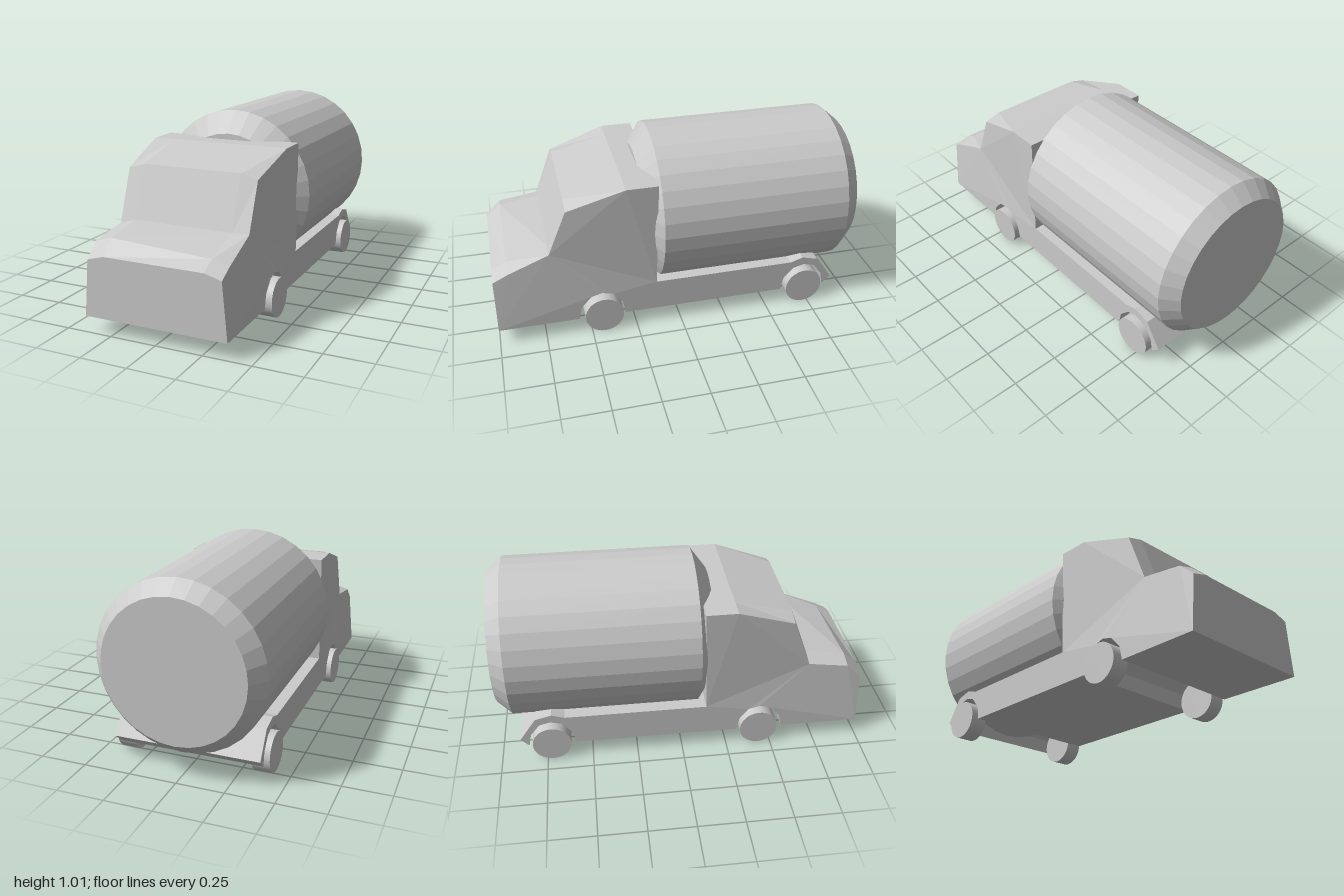
import * as THREE from 'three';

export function createModel() {
  const group = new THREE.Group();
  const material = new THREE.MeshStandardMaterial({ color: 0xcccccc, flatShading: true });
  const smooth = new THREE.MeshStandardMaterial({ color: 0xcccccc });
  const add = (name, geometry, mat = material) => {
    const mesh = new THREE.Mesh(geometry, mat);
    mesh.name = name;
    group.add(mesh);
    return mesh;
  };

  // Cab and chassis: one side profile (z, y), with wheel arches cut across
  const arch = (z) => [[-0.125, 0.085], [-0.11, 0.16], [-0.06, 0.222], [0, 0.238],
    [0.06, 0.222], [0.115, 0.16], [0.13, 0.085]].map(([dz, y]) => [z + dz, y]);
  const profile = [
    [1, 0.085], [1, 0.405], [0.92, 0.478], [0.7, 0.51], [0.6, 0.78], [0.29, 0.857], [0.12, 0.857],
    [0.135, 0.262], [-0.64, 0.262], [-0.71, 0.285], [-0.8, 0.262], [-0.89, 0.13],
    ...arch(-0.72), ...arch(0.435),
  ];
  const shape = new THREE.Shape(profile.map(([z, y]) => new THREE.Vector2(z, y)));
  const body = new THREE.ExtrudeGeometry(shape, { depth: 3, steps: 3, bevelEnabled: false });
  body.rotateY(-Math.PI / 2);

  // Place the four columns across the width, then narrow and lower the bonnet and windscreen edges
  const columns = [0.38, 0.265, -0.275, -0.39];
  const pos = body.attributes.position;
  for (let i = 0; i < pos.count; i++) {
    const column = Math.round(-pos.getX(i));
    let x = columns[column], y = pos.getY(i);
    const z = pos.getZ(i);
    const outer = column === 0 || column === 3;
    if (z > 0.59 && y > 0.3) {
      const base = Math.abs(z - 0.7) < 0.01, bonnet = Math.abs(z - 0.92) < 0.01;
      if (outer) {
        x += x > 0 ? -0.026 : 0.026;
        if (!(base && x > 0)) y -= 0.025;
      }
      if (bonnet && x > 0) y -= 0.032;
    }
    pos.setXYZ(i, x, y, z);
  }
  body.computeVertexNormals();
  add('cabAndChassis', body);

  // Drum with chamfered ends, lying along z
  const drumProfile = [[0, -1], [0.37, -1], [0.44, -0.92], [0.44, 0.1], [0.322, 0.185], [0, 0.185]];
  const drum = new THREE.LatheGeometry(drumProfile.map(([r, z]) => new THREE.Vector2(r, z)), 32);
  drum.rotateX(Math.PI / 2);
  add('drum', drum).position.y = 0.567;

  // Wheels
  const wheel = new THREE.CylinderGeometry(0.105, 0.105, 0.094, 32);
  wheel.rotateZ(Math.PI / 2);
  for (const [axle, z] of [['front', 0.43], ['rear', -0.72]]) {
    for (const [side, x] of [['Left', 0.358], ['Right', -0.368]]) {
      add(`${axle}${side}Wheel`, wheel, smooth).position.set(x, 0.105, z);
    }
  }
  return group;
}
